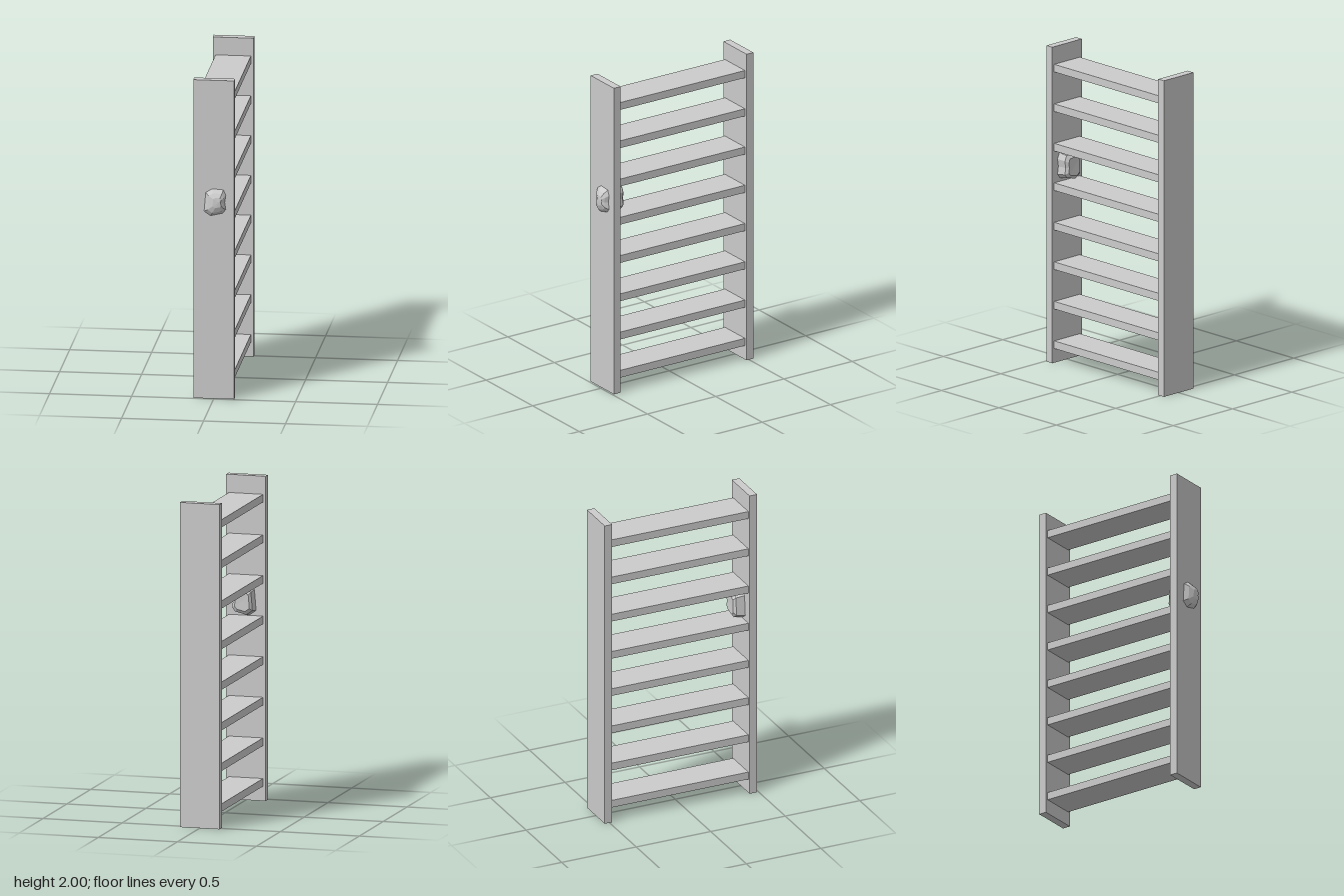
import * as THREE from 'three';

const grey = new THREE.MeshStandardMaterial({ color: 0xcccccc, flatShading: true });

function box(name, w, h, d, x, y, z) {
  const mesh = new THREE.Mesh(new THREE.BoxGeometry(w, h, d), grey);
  mesh.name = name;
  mesh.position.set(x, y, z);
  return mesh;
}

// Faceted stone: one irregular outline (counter-clockwise from +z) scaled along z
function stone() {
  const outline = [[0.068, 0], [0.075, 0.045], [0.06, 0.08], [-0.01, 0.085], [-0.05, 0.06],
    [-0.055, 0], [-0.06, -0.06], [-0.02, -0.088], [0.055, -0.07], [0.075, -0.045]];
  // [z, scale, x shift, y shift], back to front
  const rings = [[0.37, 0.7, 0, 0], [0.385, 0.95, 0, 0], [0.44, 1.07, 0, 0],
    [0.49, 0.98, 0, 0], [0.513, 0.72, 0.008, 0], [0.527, 0.38, 0.02, 0.005]];
  const n = outline.length;
  const pos = [];
  const index = [];
  for (const [z, s, dx, dy] of rings)
    for (const [x, y] of outline) pos.push(x * s + dx, 1.235 + y * s + dy, z);
  for (let r = 0; r < rings.length - 1; r++)
    for (let i = 0; i < n; i++) {
      const a = r * n + i, b = r * n + (i + 1) % n;
      index.push(a, b, b + n, a, b + n, a + n);
    }
  // End caps
  const back = pos.length / 3, front = back + 1, last = (rings.length - 1) * n;
  pos.push(0.005, 1.235, 0.372, 0.035, 1.245, 0.53);
  for (let i = 0; i < n; i++) {
    const j = (i + 1) % n;
    index.push(back, j, i, front, last + i, last + j);
  }
  const geometry = new THREE.BufferGeometry();
  geometry.setAttribute('position', new THREE.Float32BufferAttribute(pos, 3));
  geometry.setIndex(index);
  const flat = geometry.toNonIndexed();
  flat.computeVertexNormals();
  const mesh = new THREE.Mesh(flat, grey);
  mesh.name = 'stone';
  return mesh;
}

export function createModel() {
  const model = new THREE.Group();
  model.name = 'ladder';

  // Two upright rails
  model.add(box('frontRail', 0.25, 2, 0.05, 0, 1, 0.465));
  model.add(box('backRail', 0.25, 2, 0.05, 0, 1, -0.507));

  // Eight flat steps between the rails
  for (let i = 0; i < 8; i++)
    model.add(box(`step${i + 1}`, 0.216, 0.048, 0.922, 0, 0.114 + i * 0.25, -0.021));

  // Stone lodged in the front rail
  model.add(stone());
  return model;
}
